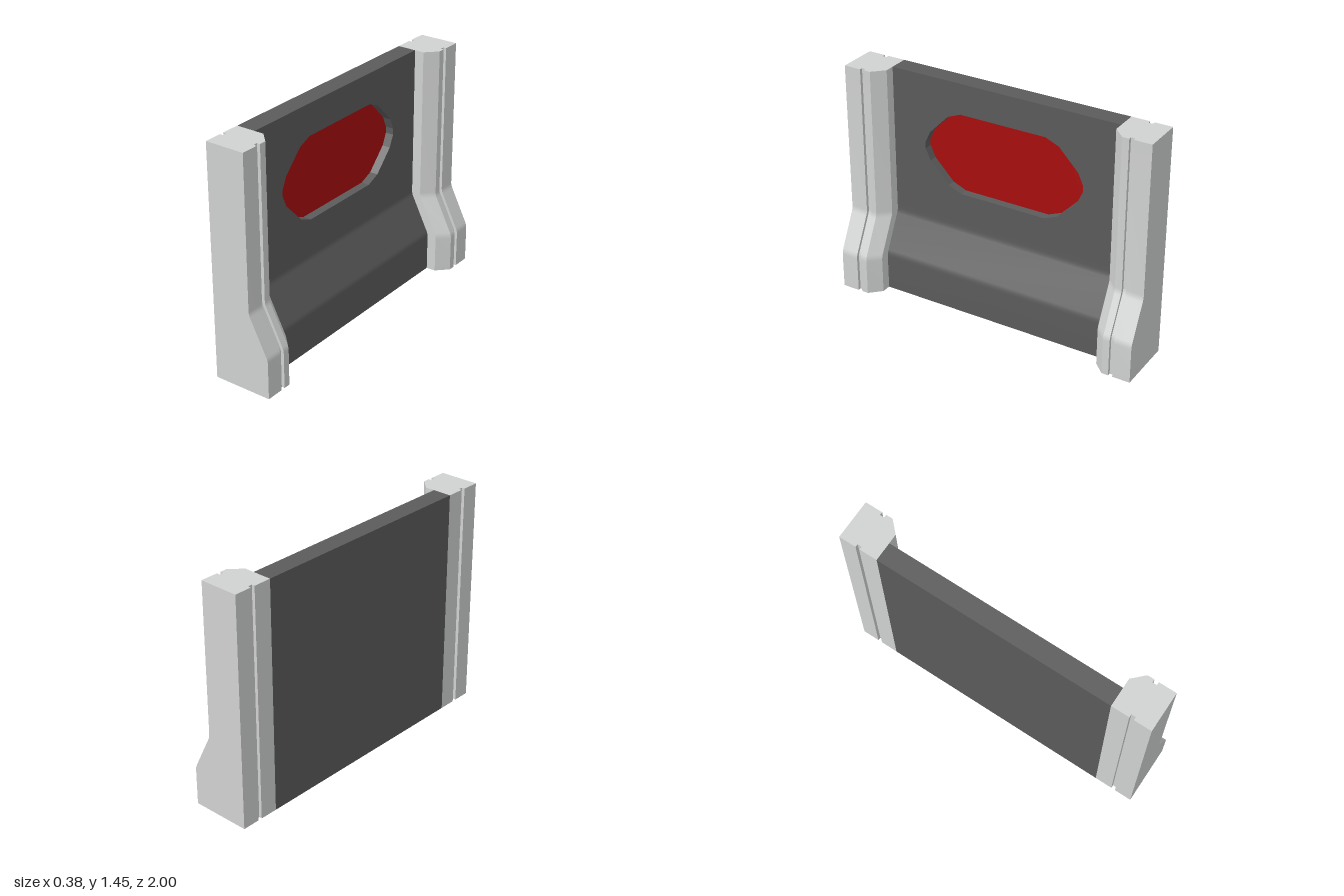
import * as THREE from 'three';
import { toCreasedNormals } from 'three/addons/utils/BufferGeometryUtils.js';

const HEIGHT = 1.45;
const BACK = -0.1875, FRONT = 0.0625;      // pillar depth above the flare
const PANEL_FRONT = -0.068, RECESS = -0.125;
const INNER = 0.75, OUTER = 1;

// Heights of the section rings, with short rounded bends
const R = 0.02, BENDS = [0.495, 0.245];
const bendHeights = (c) => [-1, -0.5, 0, 0.5, 1].map((t) => c + t * R);
const LEVELS = [0, ...bendHeights(BENDS[1]), ...bendHeights(BENDS[0]), HEIGHT];

// Forward offset of the front at height y: the foot flares out by 0.125
function flare(y) {
  const ramp = (c) => {
    const d = c + R - y;
    if (d <= 0) return 0;
    return d < 2 * R ? (d * d) / (4 * R) : c - y;
  };
  return 0.5 * (ramp(BENDS[0]) - ramp(BENDS[1]));
}

function shapeOf(points) {
  return new THREE.Shape(points.map(([a, b]) => new THREE.Vector2(a, b)));
}

// Pillar: plan section swept upwards, front points pushed out by the flare
function pillarGeometry(side) {
  const g = 0.02, g0 = 0.863, g1 = 0.89;
  const section = [
    [BACK, INNER], [FRONT - 0.07, INNER], [FRONT, 0.82],
    [FRONT, g0], [FRONT - g, g0], [FRONT - g, g1], [FRONT, g1],
    [FRONT, OUTER], [BACK, OUTER],
    [BACK, g1], [BACK + g, g1], [BACK + g, g0], [BACK, g0],
  ];
  const n = LEVELS.length - 1;
  const geo = new THREE.ExtrudeGeometry(
    shapeOf(section.map(([x, z]) => [x, -z * side])),
    { depth: n, steps: n, bevelEnabled: false });
  geo.rotateX(-Math.PI / 2);
  const p = geo.attributes.position;
  for (let i = 0; i < p.count; i++) {
    const y = LEVELS[Math.round(p.getY(i))];
    const x = p.getX(i);
    p.setXYZ(i, x > -0.1 ? x + flare(y) : x, y, p.getZ(i));
  }
  return toCreasedNormals(geo, 0.3);
}

// Panel base: side profile swept along z, thin behind the window plate
const PLATE_BOTTOM = 0.55;
function panelBaseGeometry() {
  const front = LEVELS.slice(0, -1).map((y) => [PANEL_FRONT + flare(y), y]);
  const profile = [
    [BACK, 0], ...front, [PANEL_FRONT, PLATE_BOTTOM],
    [RECESS, PLATE_BOTTOM], [RECESS, HEIGHT], [BACK, HEIGHT],
  ];
  const geo = new THREE.ExtrudeGeometry(shapeOf(profile), { depth: 2 * INNER, bevelEnabled: false });
  geo.translate(0, 0, -INNER);
  return toCreasedNormals(geo, 0.3);
}

// Stretched octagon with clipped corners, centred in the upper panel
function recessOutline() {
  const quarter = [[0.53, 0.02], [0.497, 0.093], [0.37, 0.224], [0.283, 0.26]];
  const flipped = [...quarter].reverse();
  return [
    ...quarter,
    ...flipped.map(([z, y]) => [-z, y]),
    ...quarter.map(([z, y]) => [-z, -y]),
    ...flipped.map(([z, y]) => [z, -y]),
  ].map(([z, y]) => [z, y + 0.995]);
}

// Turn a shape drawn in (-z, y) to face +x, starting at the given x
function facingX(geo, x) {
  return geo.rotateY(Math.PI / 2).translate(x, 0, 0);
}

export function createModel() {
  const group = new THREE.Group();
  const material = (name, color) => {
    const m = new THREE.MeshStandardMaterial({ color });
    m.name = name;
    return m;
  };
  const lightGrey = material('light grey', 0xd0d2d1);
  const darkGrey = material('dark grey', 0x5b5b5b);
  const red = material('red', 0xa90e0e);

  const add = (name, geo, mat) => {
    const mesh = new THREE.Mesh(geo, mat);
    mesh.name = name;
    group.add(mesh);
  };

  // End pillars
  add('frontPillar', pillarGeometry(1), lightGrey);
  add('backPillar', pillarGeometry(-1), lightGrey);

  // Wall panel with its recessed window
  add('panelBase', panelBaseGeometry(), darkGrey);
  const plate = shapeOf([
    [-INNER, PLATE_BOTTOM], [INNER, PLATE_BOTTOM], [INNER, HEIGHT], [-INNER, HEIGHT],
  ]);
  plate.holes.push(shapeOf(recessOutline()));
  add('panelFace', facingX(new THREE.ExtrudeGeometry(plate,
    { depth: PANEL_FRONT - RECESS, bevelEnabled: false }), RECESS), darkGrey);

  // Coloured floor of the recess
  add('recessInlay', facingX(new THREE.ExtrudeGeometry(shapeOf(recessOutline()),
    { depth: 0.004, bevelEnabled: false }), RECESS), red);

  return group;
}
